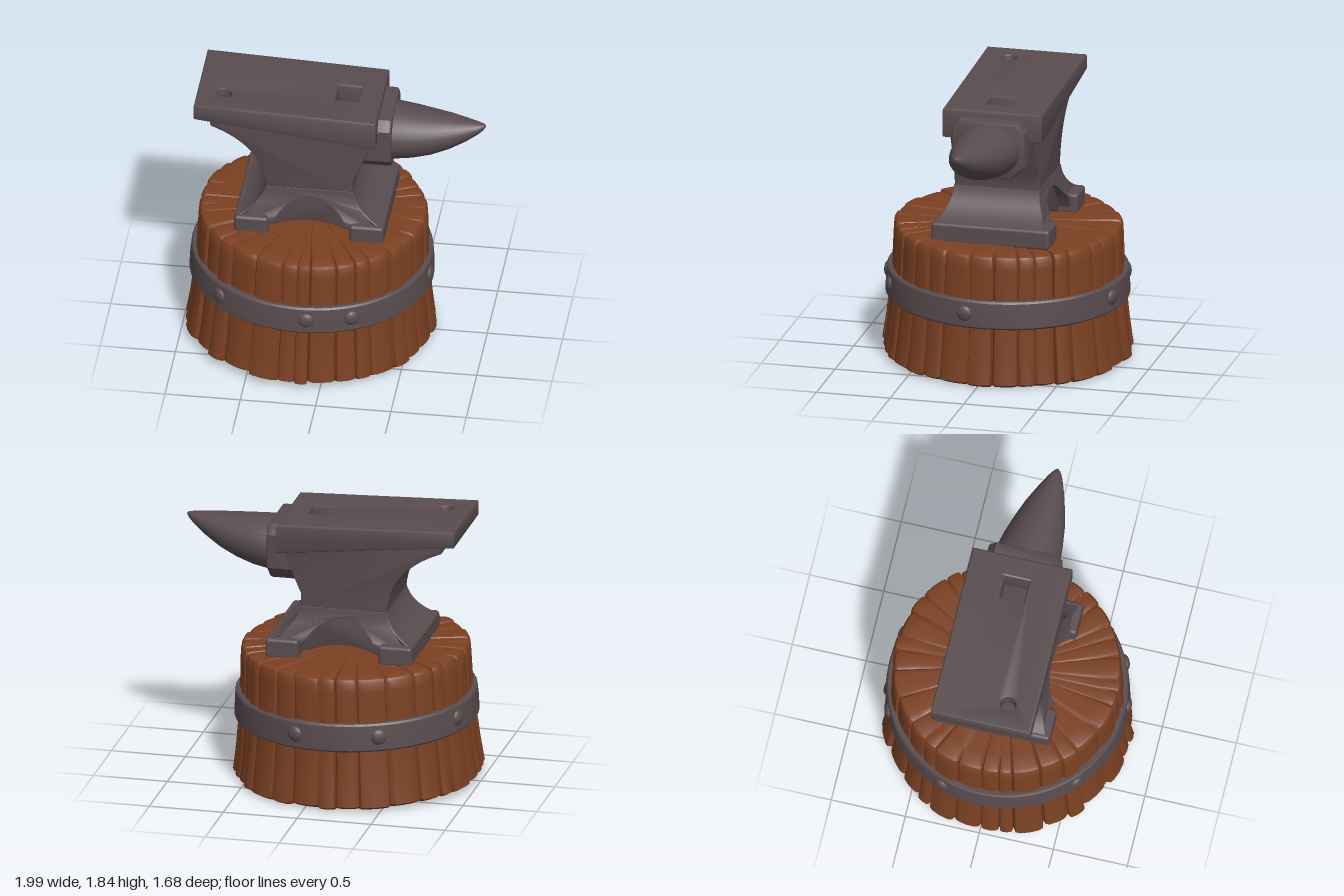
import * as THREE from 'three';
import { toCreasedNormals } from 'three/addons/utils/BufferGeometryUtils.js';
import { RoundedBoxGeometry } from 'three/addons/geometries/RoundedBoxGeometry.js';

// Small seeded generator for the irregular bark
function seeded(seed) {
  return () => {
    seed = (seed * 16807) % 2147483647;
    return seed / 2147483647;
  };
}

// Closed skin through rings of points
function loft(rings, crease) {
  const n = rings[0].length, pos = [], idx = [];
  rings.forEach(r => r.forEach(p => pos.push(...p)));
  for (let i = 0; i < rings.length - 1; i++) {
    for (let j = 0; j < n; j++) {
      const a = i * n + j, b = i * n + (j + 1) % n;
      idx.push(a, b, a + n, b, b + n, a + n);
    }
  }
  const g = new THREE.BufferGeometry();
  g.setAttribute('position', new THREE.Float32BufferAttribute(pos, 3));
  g.setIndex(idx);
  return toCreasedNormals(g, crease);
}

// Front outline extruded between two z values, with a small bevel
function slice(shape, z0, z1, bevel) {
  const g = new THREE.ExtrudeGeometry(shape, {
    depth: z1 - z0 - 2 * bevel, bevelEnabled: true, bevelThickness: bevel,
    bevelSize: bevel, bevelOffset: -bevel, bevelSegments: 2, curveSegments: 14
  });
  return g.translate(0, 0, z0 + bevel);
}

// Move every vertex by a rule
function warp(g, rule) {
  const p = g.attributes.position, v = new THREE.Vector3();
  for (let i = 0; i < p.count; i++) {
    rule(v.fromBufferAttribute(p, i));
    p.setXYZ(i, v.x, v.y, v.z);
  }
  return g;
}

function stumpGeometry() {
  const rand = seeded(4217), count = 32, widths = [], samples = [];
  for (let i = 0; i < count; i++) widths.push(0.55 + rand());
  const total = widths.reduce((a, b) => a + b);
  let start = 0;
  // Each plank: a groove followed by a slightly rounded face
  for (const w of widths) {
    const off = (rand() - 0.5) * 0.036, deep = 0.5 + rand() * 0.6, crack = rand() > 0.6 ? 1 : 0.2;
    for (const [f, groove, bulge] of [[0, 1, 0], [0.07, 0.15, 0], [0.2, 0, 0.003], [0.5, 0, 0.006], [0.8, 0, 0.003], [0.93, 0.15, 0]]) {
      samples.push({ a: (start + f * w) / total * Math.PI * 2, off: f ? off : 0, bulge, groove: groove * deep, crack });
    }
    start += w;
  }
  // radius, height, plank amount, groove depth, crack drop
  const levels = [
    [0, 0, 0, 0, 0], [0.79, 0, 1, 0.035, 0], [0.822, 0.02, 1, 0.045, 0], [0.816, 0.06, 1, 0.045, 0],
    [0.797, 0.2, 0.9, 0.04, 0], [0.778, 0.4, 0.6, 0.035, 0], [0.764, 0.6, 0.5, 0.03, 0],
    [0.756, 0.8, 0.5, 0.03, 0], [0.752, 0.86, 0.5, 0.032, 0], [0.74, 0.884, 0.5, 0.032, 0.015],
    [0.715, 0.893, 0.4, 0.02, 0.03], [0.62, 0.893, 0, 0, 0.02], [0.42, 0.893, 0, 0, 0.008], [0, 0.893, 0, 0, 0]
  ];
  return loft(levels.map(([r, y, amt, depth, drop], k) => samples.map(s => {
    const rr = r + (s.off + s.bulge) * amt - s.groove * depth;
    const yy = y - s.groove * drop * (k > 10 ? s.crack : 1) + (k > 8 && r ? s.off * 0.3 : 0);
    return [rr * Math.sin(s.a), yy, rr * Math.cos(s.a)];
  })), 0.6);
}

export function createModel() {
  const wood = new THREE.MeshStandardMaterial({ color: 0x7b4022 });
  wood.name = 'brown wood';
  const iron = new THREE.MeshStandardMaterial({ color: 0x594c4f });
  iron.name = 'dark iron';
  const model = new THREE.Group();
  model.name = 'anvilOnStump';
  const add = (parent, name, geometry, material) => {
    const m = new THREE.Mesh(geometry, material);
    m.name = name;
    parent.add(m);
    return m;
  };

  // Stump with its iron band, leaning slightly
  const stump = new THREE.Group();
  stump.name = 'stump';
  stump.position.set(-0.172, 0.022, 0);
  stump.rotation.set(-0.012, 0, -0.02);
  model.add(stump);
  add(stump, 'stumpWood', stumpGeometry(), wood);

  const band = [[0.755, 0.40], [0.795, 0.40], [0.806, 0.412], [0.803, 0.5], [0.796, 0.578], [0.786, 0.59], [0.755, 0.59], [0.755, 0.40]];
  add(stump, 'ironBand', toCreasedNormals(
    new THREE.LatheGeometry(band.map(p => new THREE.Vector2(...p)), 64), 0.6), iron);

  for (const deg of [7, 63, 85, 132, 200, 246, 287]) {
    const a = deg * Math.PI / 180;
    const rivet = add(stump, 'rivet', new THREE.SphereGeometry(0.053, 16, 10), iron);
    rivet.position.set(Math.cos(a) * 0.798, 0.5, Math.sin(a) * 0.798);
    rivet.rotation.y = -a;
    rivet.scale.x = 0.5;
  }

  const anvil = new THREE.Group();
  anvil.name = 'anvil';
  model.add(anvil);

  // Two bars as feet
  for (const [x, y] of [[-0.517, 0.967], [0.25, 0.957]]) {
    add(anvil, 'foot', new RoundedBoxGeometry(0.225, 0.135, 0.8, 3, 0.022), iron).position.set(x, y, -0.015);
  }

  // Flared base with a wide arch on each side
  const flare = new THREE.Shape();
  flare.moveTo(-0.61, 0.95);
  flare.lineTo(-0.4, 0.95);
  flare.bezierCurveTo(-0.34, 1.09, -0.24, 1.17, -0.135, 1.17);
  flare.bezierCurveTo(-0.03, 1.17, 0.08, 1.09, 0.14, 0.95);
  flare.lineTo(0.345, 0.95);
  flare.lineTo(0.345, 1.02);
  flare.quadraticCurveTo(0.18, 1.08, 0.147, 1.23);
  flare.lineTo(-0.43, 1.23);
  flare.quadraticCurveTo(-0.47, 1.09, -0.61, 1.03);
  const flareGeo = warp(slice(flare, -1, 1, 0.005), v => {
    const t = THREE.MathUtils.clamp((1.23 - v.y) / 0.2, 0, 1);
    v.z = v.z * (0.29 + 0.07 * t * t) - 0.008;
  });
  add(anvil, 'flaredBase', toCreasedNormals(flareGeo, 0.5), iron);

  // Recessed web between the feet, open below
  const web = new THREE.Shape();
  web.moveTo(-0.45, 0.92);
  web.lineTo(-0.37, 0.92);
  web.quadraticCurveTo(-0.14, 1.03, 0.1, 0.92);
  web.lineTo(0.18, 0.92);
  web.lineTo(0.14, 1.2);
  web.lineTo(-0.42, 1.2);
  add(anvil, 'baseWeb', toCreasedNormals(slice(web, -0.285, 0.27, 0.005), 0.5), iron);

  // Waist sweeping out under the heel
  const waist = new THREE.Shape();
  waist.moveTo(-0.43, 1.22);
  waist.lineTo(0.147, 1.22);
  waist.lineTo(0.15, 1.32);
  waist.quadraticCurveTo(0.18, 1.38, 0.27, 1.61);
  waist.lineTo(-0.81, 1.73);
  waist.lineTo(-0.8, 1.665);
  waist.bezierCurveTo(-0.6, 1.59, -0.45, 1.46, -0.43, 1.22);
  add(anvil, 'waist', toCreasedNormals(slice(waist, -0.293, 0.28, 0.012), 0.5), iron);

  // Sloping face plate with a square and a round hole
  const plate = new THREE.Shape();
  plate.moveTo(-0.905, -0.322);
  plate.lineTo(0.303, -0.322);
  plate.lineTo(0.303, 0.352);
  plate.lineTo(-0.905, 0.352);
  const square = new THREE.Path();
  square.moveTo(0, -0.065);
  square.lineTo(0, 0.1);
  square.lineTo(0.15, 0.1);
  square.lineTo(0.15, -0.065);
  const round = new THREE.Path();
  round.absarc(-0.73, -0.13, 0.052, 0, Math.PI * 2, true);
  plate.holes.push(square, round);
  const plateGeo = new THREE.ExtrudeGeometry(plate, {
    depth: 0.8, bevelEnabled: true, bevelThickness: 0.1, bevelSize: 0.014,
    bevelOffset: -0.014, bevelSegments: 2, curveSegments: 12
  }).rotateX(-Math.PI / 2);
  warp(plateGeo, v => {
    const s = (v.x + 0.905) / 1.208;
    const low = 1.735 - 0.135 * s, high = 1.847 - 0.045 * s;
    v.y = low + (high - low) * (v.y + 0.1);
  });
  add(anvil, 'facePlate', toCreasedNormals(plateGeo, 0.5), iron);

  // Collar with cut corners behind the horn
  const collar = new THREE.Shape();
  [[-0.15, -0.195], [0.15, -0.195], [0.25, -0.1], [0.25, 0.13], [0.2, 0.195], [-0.2, 0.195], [-0.25, 0.13], [-0.25, -0.1]]
    .forEach(([z, y], i) => i ? collar.lineTo(z, y) : collar.moveTo(z, y));
  const collarGeo = slice(collar, 0.18, 0.392, 0.022).rotateY(Math.PI / 2).translate(0, 1.563, -0.01);
  add(anvil, 'hornCollar', toCreasedNormals(collarGeo, 0.5), iron);

  // Horn sections: x, lower y, upper y, back z, front z
  const horn = [
    [0.36, 1.565, 1.565, -0.01, -0.01], [0.36, 1.378, 1.745, -0.222, 0.212], [0.42, 1.385, 1.744, -0.22, 0.212],
    [0.52, 1.402, 1.738, -0.196, 0.205], [0.64, 1.438, 1.73, -0.155, 0.19], [0.76, 1.492, 1.722, -0.105, 0.163],
    [0.87, 1.56, 1.712, -0.045, 0.13], [0.95, 1.622, 1.704, 0.005, 0.1], [0.985, 1.656, 1.699, 0.033, 0.08],
    [1, 1.68, 1.69, 0.052, 0.062], [1, 1.685, 1.685, 0.057, 0.057]
  ];
  add(anvil, 'horn', loft(horn.map(([x, y0, y1, z0, z1]) => Array.from({ length: 28 }, (_, j) => {
    const a = j / 28 * Math.PI * 2;
    return [x, (y0 + y1) / 2 + (y1 - y0) / 2 * Math.cos(a), (z0 + z1) / 2 + (z1 - z0) / 2 * Math.sin(a)];
  })), 0.7), iron);

  return model;
}
